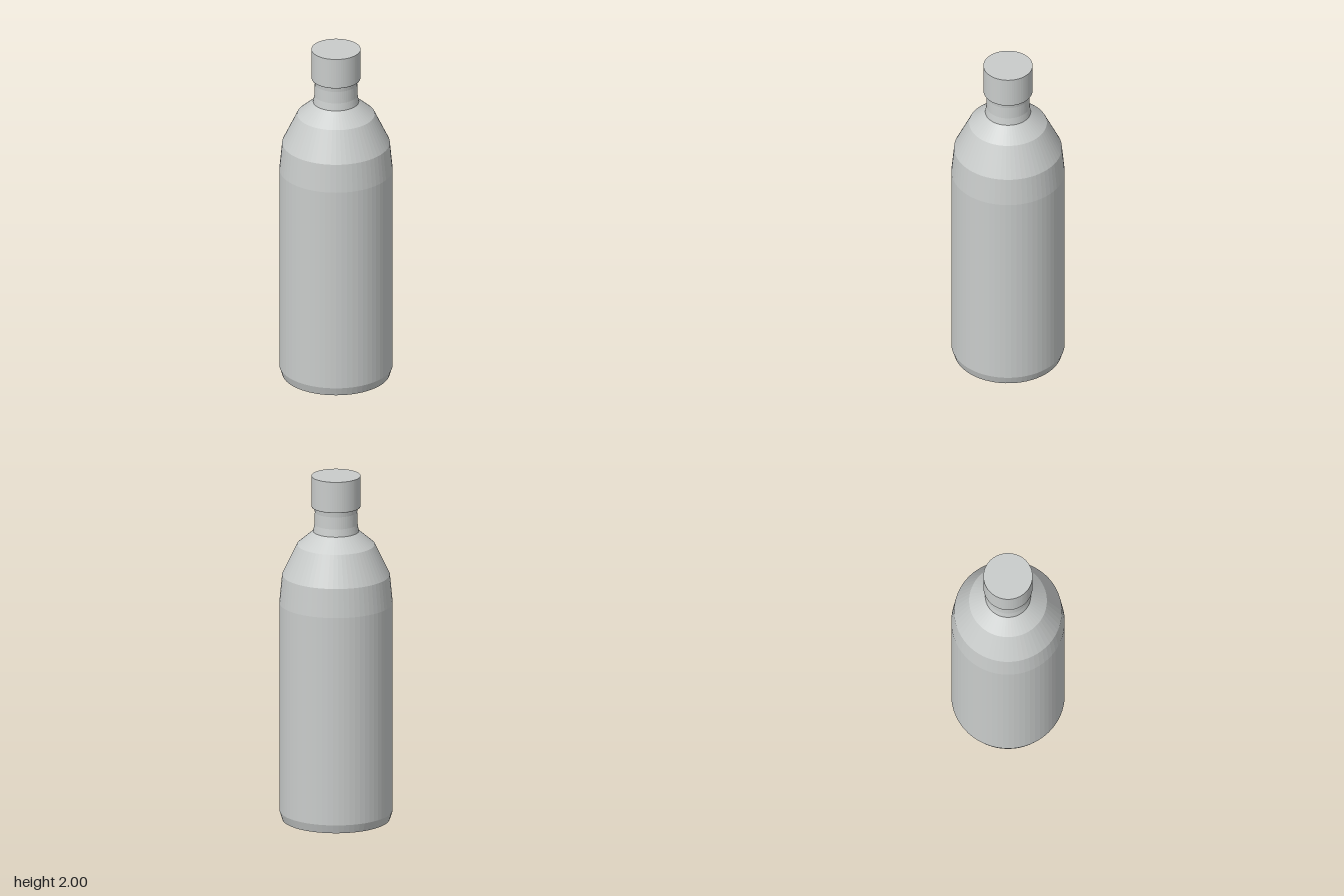
import * as THREE from 'three';

const SIDES = 64;

// Turns a list of [radius, height] pairs, bottom to top, into a faceted solid
function turned(name, profile, material) {
  const points = profile.map(([r, y]) => new THREE.Vector2(r, y));
  const mesh = new THREE.Mesh(new THREE.LatheGeometry(points, SIDES), material);
  mesh.name = name;
  return mesh;
}

export function createModel() {
  const bottle = new THREE.Group();
  bottle.name = 'bottle';

  const grey = new THREE.MeshStandardMaterial({ color: 0xc9cccb, flatShading: true });
  grey.name = 'light grey';

  // Closed base, chamfered foot, straight wall and stepped shoulder
  bottle.add(turned('body', [
    [0, 0], [0.302, 0], [0.318, 0.05], [0.318, 1.26],
    [0.302, 1.425], [0.218, 1.6], [0.128, 1.677],
  ], grey));

  // Slightly waisted neck
  bottle.add(turned('neck', [
    [0.128, 1.677], [0.121, 1.72], [0.119, 1.79], [0.122, 1.82],
  ], grey));

  // Flat cap overhanging the neck
  bottle.add(turned('cap', [
    [0, 1.82], [0.136, 1.82], [0.138, 1.825], [0.138, 2], [0, 2],
  ], grey));

  return bottle;
}
